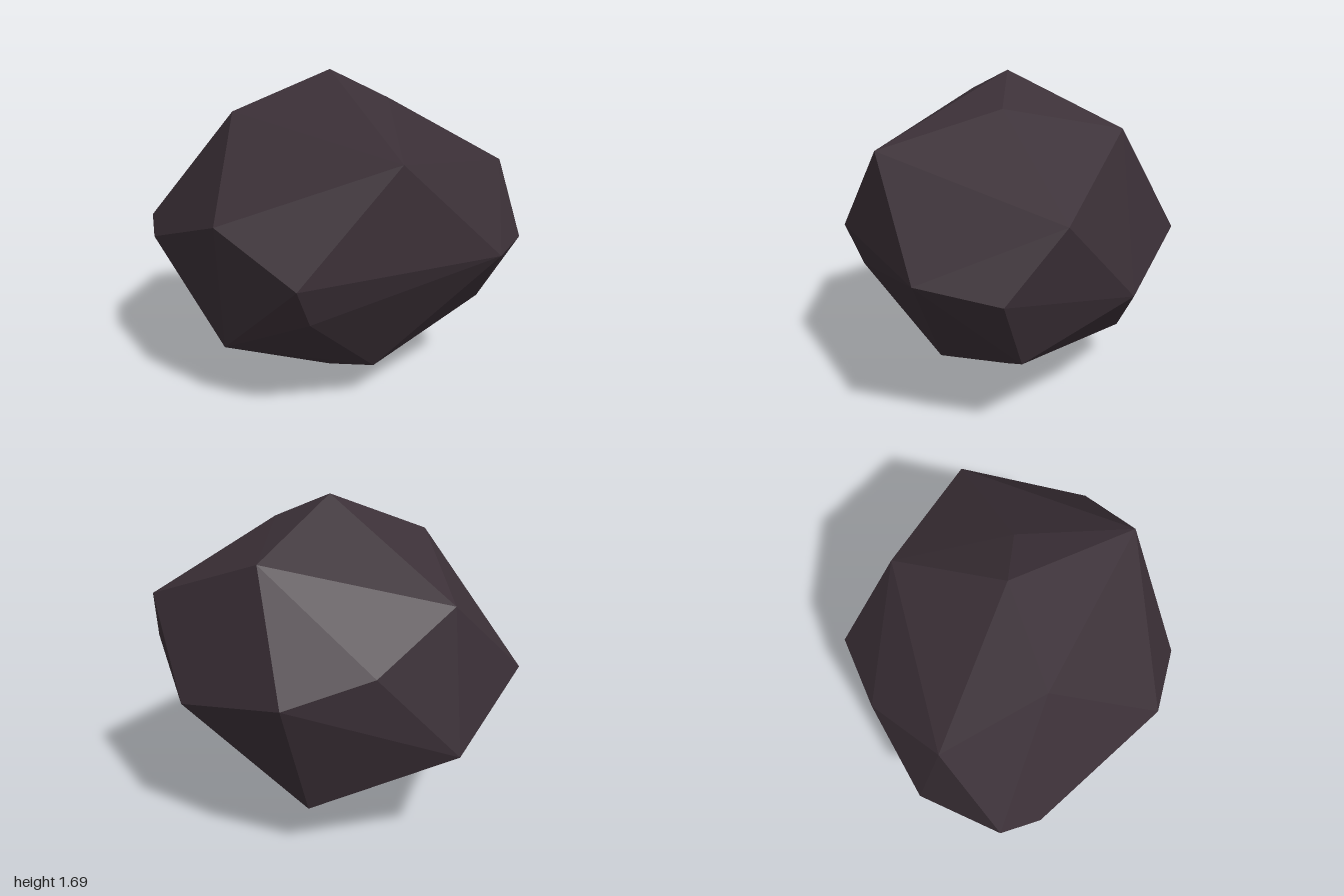
import * as THREE from 'three';
import { ConvexGeometry } from 'three/addons/geometries/ConvexGeometry.js';

// Faceted boulder: the hull of six axis tips and the chipped corners between them
const TIPS = [
  [0, 1.69, 0], [0, 0, 0],
  [1, 0.85, 0], [-1, 0.85, 0],
  [0, 0.85, 0.88], [0, 0.85, -0.88],
];

const CORNERS = [
  // crown
  [-0.46, 1.5, 0.2], [0.3, 1.56, 0.02], [0.44, 1.39, 0.62], [0.2, 1.44, -0.57],
  // shoulders
  [-0.41, 1.09, 0.76], [0.9, 0.9, 0.41], [0.88, 1.18, -0.28], [-0.7, 1.23, -0.3],
  // waist
  [-0.92, 0.8, 0.2], [0.6, 0.72, -0.615], [-0.4, 0.97, -0.68], [0.04, 0.64, 0.78],
  // underside
  [0.8, 0.46, -0.08], [-0.77, 0.52, -0.45], [-0.45, 0.355, 0.54],
  [0.29, 0.215, 0.35], [-0.29, 0.14, -0.02], [-0.055, 0.23, -0.62],
];

export function createModel() {
  const stone = new THREE.MeshStandardMaterial({ color: 0x3a2f36 });
  stone.name = 'darkStone';

  const points = [...TIPS, ...CORNERS].map((p) => new THREE.Vector3(...p));
  const rock = new THREE.Mesh(new ConvexGeometry(points), stone);
  rock.name = 'rock';

  const model = new THREE.Group();
  model.name = 'boulder';
  model.add(rock);
  return model;
}
